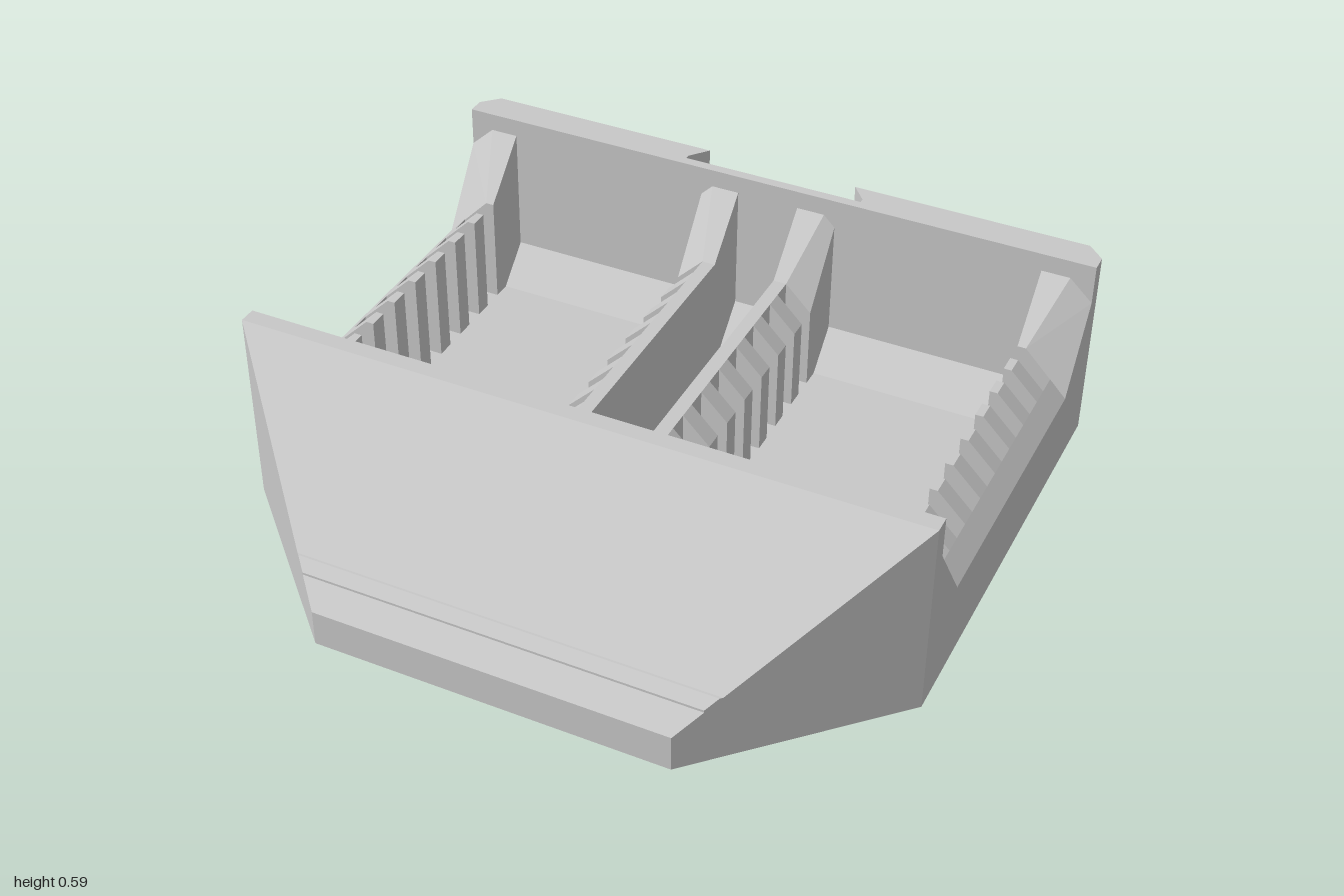
import * as THREE from 'three';
import { ConvexGeometry } from 'three/addons/geometries/ConvexGeometry.js';

const H = 0.59;        // wall height
const FLOOR = 0.04;    // tray floor thickness
const MID_Z = -0.215;  // centre of the tray, front to back

export function createModel() {
  const root = new THREE.Group();
  const grey = new THREE.MeshStandardMaterial({ color: 0xc8c8c8 });

  const add = (name, geo) => {
    const mesh = new THREE.Mesh(geo, grey);
    mesh.name = name;
    root.add(mesh);
    return mesh;
  };
  const box = (name, x0, x1, y0, y1, z0, z1) =>
    add(name, new THREE.BoxGeometry(x1 - x0, y1 - y0, z1 - z0)
      .translate((x0 + x1) / 2, (y0 + y1) / 2, (z0 + z1) / 2));
  const shape = (pts) => new THREE.Shape(pts.map(([x, y]) => new THREE.Vector2(x, y)));
  const extrude = (s, depth) => new THREE.ExtrudeGeometry(s, { depth, bevelEnabled: false });
  // outline in (x, y), pushed along z
  const alongZ = (name, pts, z0, z1) => add(name, extrude(shape(pts), z1 - z0).translate(0, 0, z0));
  // outline in (x, z), pushed up along y
  const alongY = (name, pts, y0, y1) =>
    add(name, extrude(shape(pts), y1 - y0).rotateX(Math.PI / 2).translate(0, y1, 0));
  const mirrorX = (pts, s) => pts.map(([x, y]) => [x * s, y]);
  const fromQuads = (quads) => {
    const pos = [];
    for (const q of quads)
      for (let i = 2; i < q.length; i++) pos.push(...q[0], ...q[i - 1], ...q[i]);
    const geo = new THREE.BufferGeometry();
    geo.setAttribute('position', new THREE.Float32BufferAttribute(pos, 3));
    geo.computeVertexNormals();
    return geo;
  };

  // Tapered body: (z, y) profile whose half width shrinks as z grows; open at the bottom
  const taper = (profile, reach, inward) => {
    const faces = [];
    const at = ([z, y], s) => [s * (reach - z), y, z];
    for (let i = 0; i < profile.length - 1; i++) {
      const a = profile[i], b = profile[i + 1];
      const q = [at(a, -1), at(b, -1), at(b, 1), at(a, 1)];
      faces.push(inward ? q.reverse() : q);
    }
    const flat = profile.map(([z, y]) => new THREE.Vector2(z, y));
    for (const s of [-1, 1])
      for (const t of THREE.ShapeUtils.triangulateShape(flat, [])) {
        const [a, b, c] = t.map((i) => profile[i]);
        const nx = (b[1] - a[1]) * (c[0] - a[0]) - (b[0] - a[0]) * (c[1] - a[1]);
        const q = [a, b, c].map((p) => at(p, s));
        faces.push(nx * s * (inward ? -1 : 1) < 0 ? q.reverse() : q);
      }
    return fromQuads(faces);
  };

  // Sloping front with a slim raised strip, hollow underneath
  add('slopingFront', taper([[0.44, 0], [0.44, H], [0.825, 0.205], [0.832, 0.205],
    [0.86, 0.177], [0.86, 0.17], [0.92, 0.11], [0.92, 0]], 1.44, false));
  add('frontCavity', taper([[0.5, 0], [0.5, 0.47], [0.88, 0.09], [0.88, 0]], 1.38, true));
  const rim = shape([[-1, 0.44], [1, 0.44], [0.52, 0.92], [-0.52, 0.92]]);
  rim.holes.push(new THREE.Path([[-0.88, 0.5], [-0.5, 0.88], [0.5, 0.88], [0.88, 0.5]]
    .map(([x, z]) => new THREE.Vector2(x, z))));
  add('frontRim', new THREE.ShapeGeometry(rim).rotateX(Math.PI / 2));

  // Tray floor and end walls
  box('floor', -1, 1, 0, FLOOR, -0.82, 0.39);
  box('frontWall', -1, 1, 0, H, 0.39, 0.44);
  box('backWall', -1, 1, 0, H, -0.85, -0.82);

  // Sloped fillets where the floor meets the end walls
  for (const s of [-1, 1]) {
    const z = (d) => MID_Z + s * d;
    const pts = [];
    for (const x of [-0.95, 0.95])
      for (const [d, y] of [[0.5, FLOOR], [0.605, FLOOR], [0.605, FLOOR + 0.105]])
        pts.push(new THREE.Vector3(x, y, z(d)));
    add('floorFillet', new ConvexGeometry(pts));
  }

  // Corner post: cross-sections at the low (inner) and high (wall) ends
  const post = (name, sx, sz, low, high) => {
    const pts = [];
    for (const [d, top] of [[0.445, low], [0.605, high]]) {
      for (const [x, y] of top) pts.push(new THREE.Vector3(sx * x, y, MID_Z + sz * d));
      for (const [x] of [top[0], top[2]]) pts.push(new THREE.Vector3(sx * x, 0, MID_Z + sz * d));
    }
    add(name, new ConvexGeometry(pts));
  };

  for (const s of [-1, 1]) {
    // Side walls and centre dividers
    alongZ('sideWall', mirrorX([[0.95, 0], [1, 0], [1, 0.24], [0.95, 0.293]], s), -0.66, 0.23);
    box('divider', Math.min(s * 0.095, s * 0.135), Math.max(s * 0.095, s * 0.135), 0, 0.375, -0.66, 0.23);

    // Slot teeth
    for (let i = 0; i < 7; i++) {
      const z = -0.597 + i * 0.1175;
      alongZ('sideTooth', mirrorX([[0.845, 0], [0.95, 0], [0.95, 0.293], [0.868, 0.375], [0.845, 0.375]], s), z, z + 0.055);
      alongZ('dividerTooth', mirrorX([[0.135, 0], [0.215, 0], [0.215, 0.295], [0.135, 0.375]], s), z, z + 0.055);
    }

    // Posts at both ends of each wall
    for (const e of [-1, 1]) {
      post('sidePost', s, e, [[0.845, 0.375], [0.87, 0.375], [1, 0.24]],
        [[0.845, 0.535], [0.93, 0.535], [1, 0.47]]);
      post('dividerPost', s, e, [[0.095, 0.375], [0.135, 0.375], [0.215, 0.295]],
        [[0.095, 0.535], [0.18, 0.535], [0.215, 0.5]]);
    }

    // Back panel with a tapered pocket, two opposite corners cut
    const w = 0.295, h = 0.225, c = 0.19, cx = s * 0.585, cy = 0.315;
    const outline = [[c - w, -h], [w, -h], [w, h - c], [w - c, h], [-w, h], [-w, c - h]];
    const ring = (k, z) => outline.map(([x, y]) => [cx + x * k, cy + y * k, z]);
    const panel = shape(mirrorX([[0.28, 0], [0.95, 0], [0.95, H], [0.28, H]], s));
    panel.holes.push(new THREE.Path(ring(1, 0).map(([x, y]) => new THREE.Vector2(x, y))));
    add('backPanel', extrude(panel, 0.07).translate(0, 0, -0.92));
    const outer = ring(1, -0.92), inner = ring(0.82, -0.855);
    const quads = outer.map((p, i) => {
      const j = (i + 1) % outer.length;
      return [p, inner[i], inner[j], outer[j]];
    });
    quads.push([...inner].reverse());
    add('backPocket', fromQuads(quads));

    // Chamfered outer corner, undercut edge and detent rib of the rear slot
    alongY('backCorner', mirrorX([[0.95, -0.92], [1, -0.87], [1, -0.85], [0.95, -0.85]], s), 0, H);
    alongY('slotEdge', mirrorX([[0.235, -0.92], [0.28, -0.92], [0.28, -0.865]], s), 0, H);
    box('slotRib', s * 0.2 - 0.025, s * 0.2 + 0.025, 0.03, H - 0.04, -0.865, -0.85);
  }

  // Rear slot sill with a small catch
  box('slotSill', -0.28, 0.28, 0, 0.03, -0.92, -0.85);
  box('slotCatch', -0.08, 0.08, 0.03, 0.055, -0.92, -0.897);

  return root;
}
